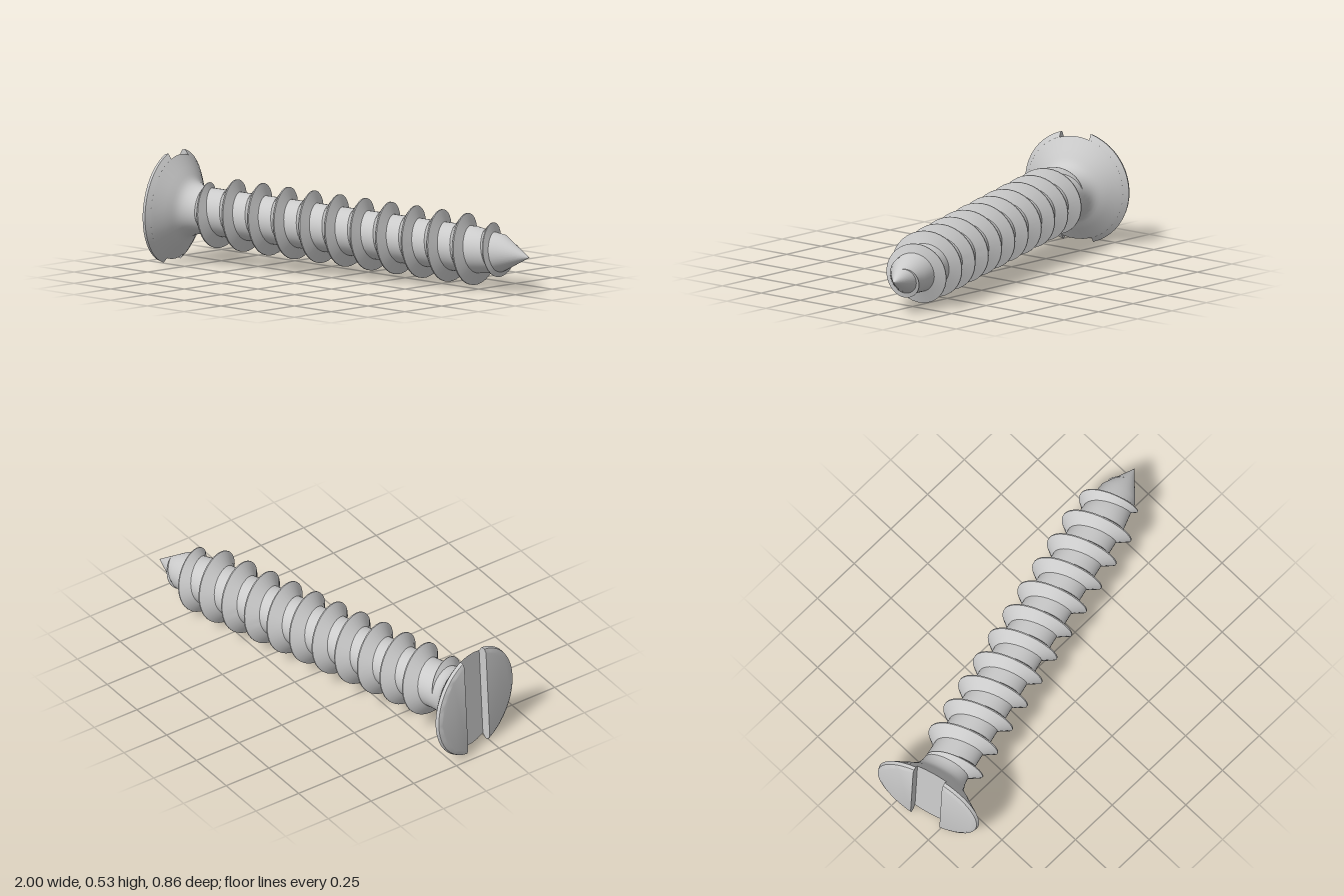
import * as THREE from 'three';
import { toCreasedNormals } from 'three/addons/utils/BufferGeometryUtils.js';
import { ConvexGeometry } from 'three/addons/geometries/ConvexGeometry.js';

const material = new THREE.MeshStandardMaterial({ color: 0xcccccc });
const SIDES = 40;
const SLOT_FLOOR = 0.03;
const SLOT_HALF = 0.08;
const PITCH = 0.1425;

function part(name, geometry, crease = 0.5) {
  const mesh = new THREE.Mesh(toCreasedNormals(geometry, crease), material);
  mesh.name = name;
  return mesh;
}

// Shank radius along the screw's length
function shankRadius(s) {
  if (s < 1.68) return 0.114;
  if (s < 1.836) return THREE.MathUtils.mapLinear(s, 1.68, 1.836, 0.114, 0.093);
  return THREE.MathUtils.mapLinear(s, 1.836, 1.989, 0.093, 0);
}

// Underside of the head, shank and pointed tip, turned in one piece
function body() {
  const flare = new THREE.SplineCurve([
    [0.255, SLOT_FLOOR], [0.188, 0.077], [0.14, 0.112], [0.119, 0.155], [0.114, 0.21],
  ].map(([r, s]) => new THREE.Vector2(r, s))).getPoints(14);
  const rest = [0.7, 1.2, 1.68, 1.836, 1.989].map((s) => new THREE.Vector2(shankRadius(s), s));
  const profile = [new THREE.Vector2(0, SLOT_FLOOR), ...flare, ...rest];
  return part('headAndShank', new THREE.LatheGeometry(profile, SIDES));
}

// One half of the head's face, on either side of the slot
function headHalf(side) {
  const points = [];
  for (const [r, s] of [[0.255, -0.013], [0.274, -0.004], [0.279, 0.012], [0.255, SLOT_FLOOR]]) {
    const reach = Math.acos(SLOT_HALF / r);
    for (let i = 0; i <= 20; i++) {
      const a = reach * (i / 10 - 1);
      points.push(new THREE.Vector3(side * r * Math.cos(a), s, r * Math.sin(a)));
    }
  }
  return part(side > 0 ? 'headHalfLeft' : 'headHalfRight', new ConvexGeometry(points), 0.6);
}

// Helical thread: a skewed ridge swept round the shank, fading at both ends
function thread() {
  const start = 0.17, end = 1.91, stepsPerTurn = 36;
  const count = Math.round(((end - start) / PITCH) * stepsPerTurn);
  const positions = [], index = [];
  for (let i = 0; i <= count; i++) {
    const s = start + ((end - start) * i) / count;
    const angle = ((s - 0.345) / PITCH) * Math.PI * 2;
    const grow = Math.min(1, (s - start) / 0.07, (end - s) / 0.2);
    const crest = shankRadius(s) + 0.057 * grow;
    const low = s - 0.052 * grow, high = s + 0.026 * grow;
    const section = [
      [shankRadius(low) - 0.004, low],
      [crest, s - 0.003 * grow],
      [crest, s + 0.003 * grow],
      [shankRadius(high) - 0.004, high],
    ];
    for (const [r, y] of section) positions.push(r * Math.sin(angle), y, r * Math.cos(angle));
    if (i === count) break;
    for (let j = 0; j < 3; j++) {
      const a = i * 4 + j, b = a + 4;
      index.push(a, b, a + 1, b, b + 1, a + 1);
    }
  }
  const geometry = new THREE.BufferGeometry();
  geometry.setAttribute('position', new THREE.Float32BufferAttribute(positions, 3));
  geometry.setIndex(index);
  return part('thread', geometry);
}

export function createModel() {
  const screw = new THREE.Group();
  screw.name = 'screw';
  screw.add(body(), headHalf(1), headHalf(-1), thread());

  // Lay the screw down: local y runs from head to tip, local z stays upward
  const head = new THREE.Vector3(-0.92, 0.278, 0.165);
  const tip = new THREE.Vector3(1, 0.18, -0.345);
  const axis = tip.clone().sub(head).normalize();
  const across = axis.clone().cross(new THREE.Vector3(0, 1, 0)).normalize();
  const up = across.clone().cross(axis);
  screw.quaternion.setFromRotationMatrix(new THREE.Matrix4().makeBasis(across, axis, up));
  screw.position.copy(head);

  const model = new THREE.Group();
  model.name = 'slottedScrew';
  model.add(screw);
  return model;
}
